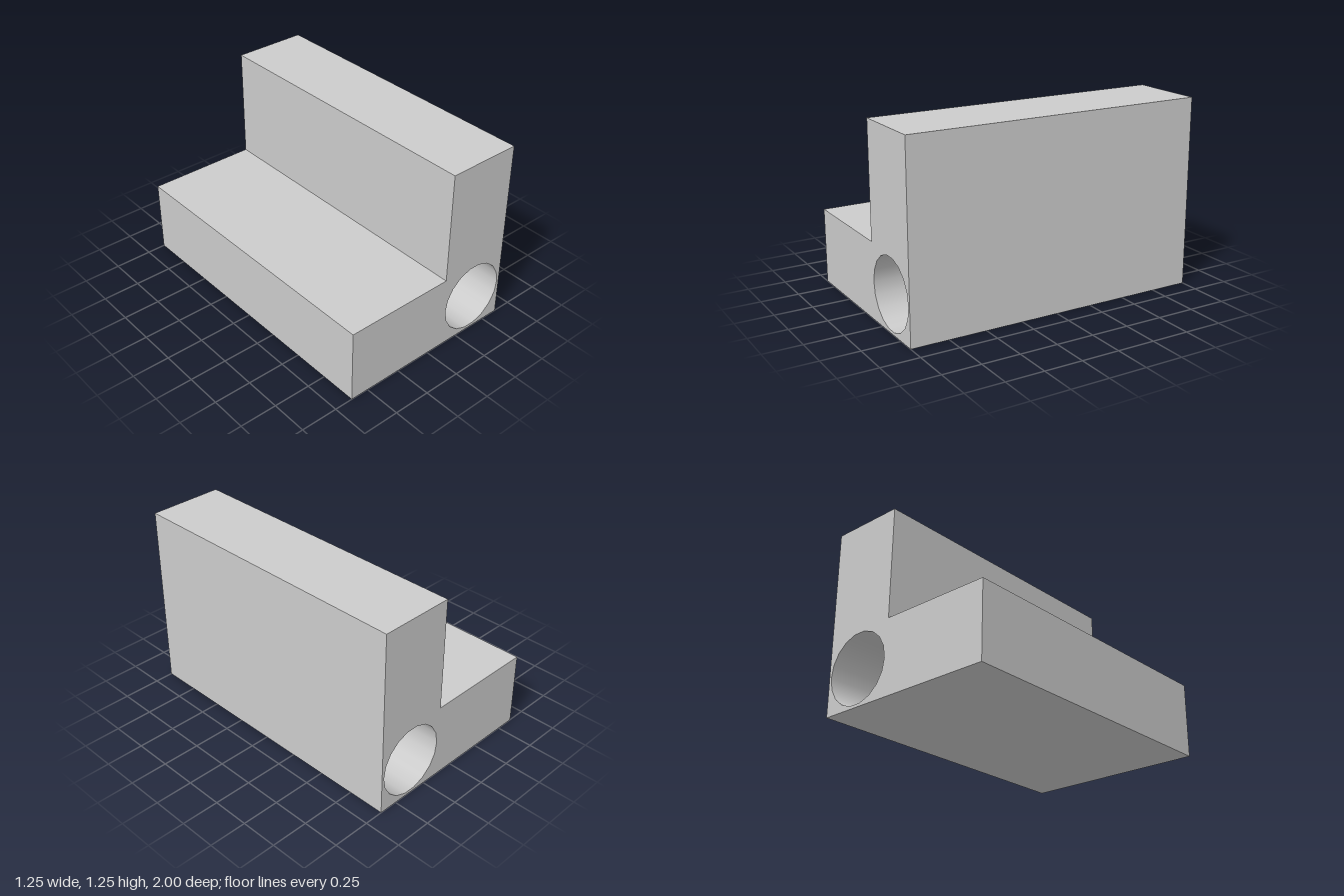
import * as THREE from 'three';
import { toCreasedNormals } from 'three/addons/utils/BufferGeometryUtils.js';

const LENGTH = 2;
const BORE = { x: 0.375, y: 0.25, radius: 0.234, sides: 18 };

export function createModel() {
  const group = new THREE.Group();
  group.name = 'steppedBlock';

  // L-shaped cross-section: low step on the right, tall wall on the left
  const profile = new THREE.Shape([
    [-0.625, 0], [0.625, 0], [0.625, 1.25], [0.125, 1.25], [0.125, 0.5], [-0.625, 0.5],
  ].map(([x, y]) => new THREE.Vector2(x, y)));

  // Round bore running the full length below the wall
  const rim = [];
  for (let i = 0; i < BORE.sides; i++) {
    const a = -i * 2 * Math.PI / BORE.sides;
    rim.push(new THREE.Vector2(
      BORE.x + BORE.radius * Math.cos(a),
      BORE.y + BORE.radius * Math.sin(a),
    ));
  }
  profile.holes.push(new THREE.Path(rim));

  // Extrude along z; creased normals keep the block sharp and the bore smooth
  const extruded = new THREE.ExtrudeGeometry(profile, { depth: LENGTH, bevelEnabled: false });
  extruded.translate(0, 0, -LENGTH / 2);
  const block = new THREE.Mesh(
    toCreasedNormals(extruded, Math.PI / 6),
    new THREE.MeshStandardMaterial({ color: 0xcccccc }),
  );
  block.name = 'boredBlock';
  group.add(block);

  return group;
}
